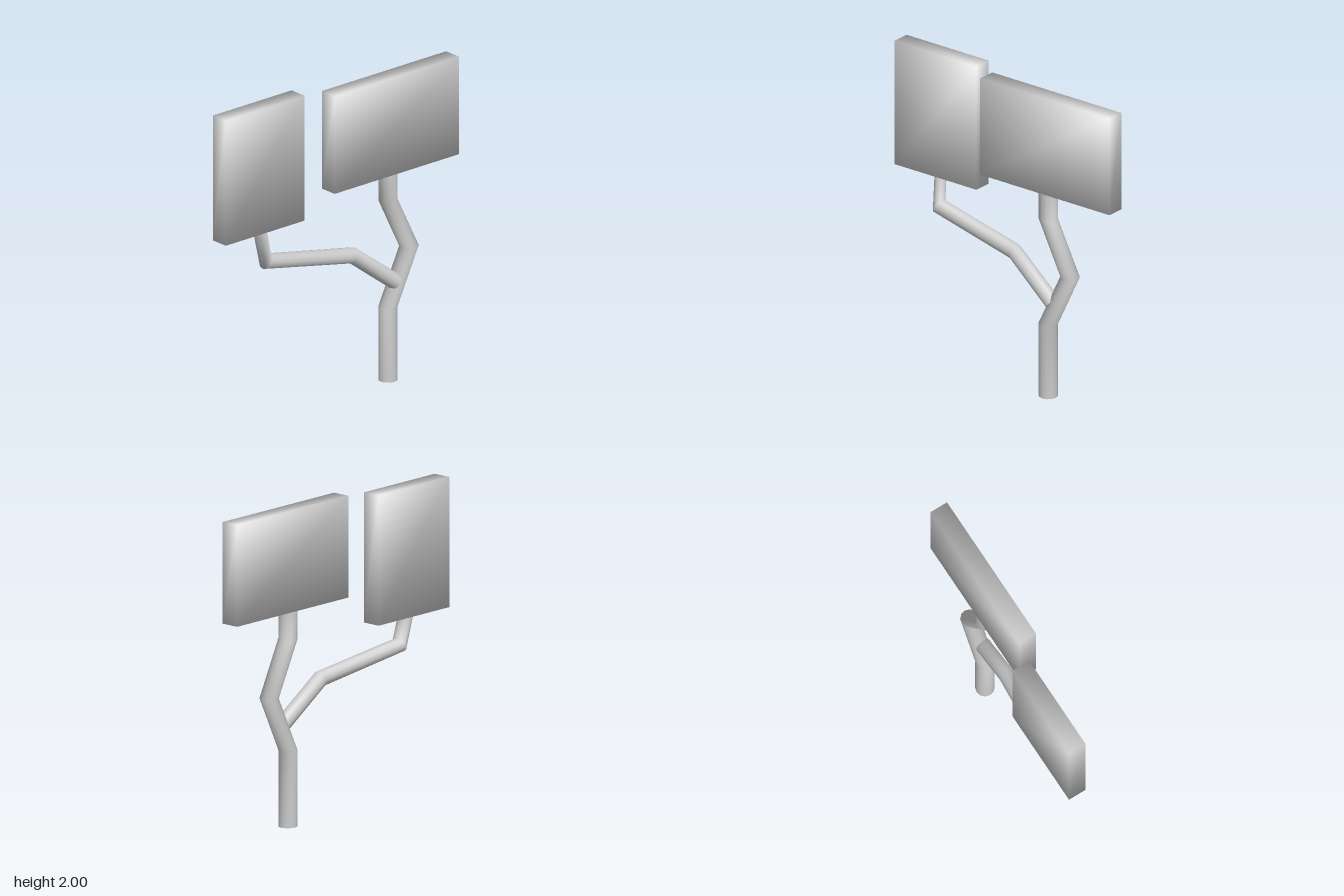
import * as THREE from 'three';

const SIDES = 12;
const grey = new THREE.MeshStandardMaterial({ color: 0xcccccc });

// Pole lofted through rings: each ring is [x, y, z, tilt],
// tilt leaning the ring's axis from straight up towards +z.
function pole(name, rings, radius) {
  const pos = [], index = [];
  const addRing = ([x, y, z, tilt]) => {
    for (let i = 0; i < SIDES; i++) {
      const a = (i / SIDES) * Math.PI * 2;
      const d = Math.cos(a) * radius;
      pos.push(x + Math.sin(a) * radius, y - d * Math.sin(tilt), z + d * Math.cos(tilt));
    }
  };
  rings.forEach(addRing);
  for (let r = 0; r < rings.length - 1; r++) {
    for (let i = 0; i < SIDES; i++) {
      const a = r * SIDES + i, b = r * SIDES + (i + 1) % SIDES;
      index.push(a, b, b + SIDES, a, b + SIDES, a + SIDES);
    }
  }
  // Flat end caps on their own vertices
  [rings[0], rings[rings.length - 1]].forEach((ring, end) => {
    const s = pos.length / 3;
    addRing(ring);
    for (let i = 1; i < SIDES - 1; i++) {
      if (end) index.push(s, s + i, s + i + 1);
      else index.push(s, s + i + 1, s + i);
    }
  });
  const geo = new THREE.BufferGeometry();
  geo.setAttribute('position', new THREE.Float32BufferAttribute(pos, 3));
  geo.setIndex(index);
  geo.computeVertexNormals();
  const mesh = new THREE.Mesh(geo, grey);
  mesh.name = name;
  return mesh;
}

// Board whose normals point out through its corners for soft shading
function board(name, min, max) {
  const size = max.map((v, i) => v - min[i]);
  const geo = new THREE.BoxGeometry(...size);
  const p = geo.attributes.position, n = geo.attributes.normal;
  const v = new THREE.Vector3();
  for (let i = 0; i < p.count; i++) {
    v.set(Math.sign(p.getX(i)), Math.sign(p.getY(i)), Math.sign(p.getZ(i))).normalize();
    n.setXYZ(i, v.x, v.y, v.z);
  }
  const mesh = new THREE.Mesh(geo, grey);
  mesh.position.set(...max.map((m, i) => (m + min[i]) / 2));
  mesh.name = name;
  return mesh;
}

export function createModel() {
  const group = new THREE.Group();
  group.name = 'forkedSignpost';
  group.add(
    // Main post, with level rings at each bend
    pole('mainPost', [
      [0.06, 0, -0.365, 0],
      [0.06, 0.48, -0.365, 0],
      [0.06, 0.835, -0.535, 0],
      [0.06, 1.18, -0.365, 0],
      [0.06, 1.38, -0.365, 0],
    ], 0.06),
    // Side branch reaching forward to the tall board
    pole('sideBranch', [
      [0.073, 0.635, -0.41, 0.9],
      [0.043, 0.88, -0.09, 1.15],
      [-0.025, 0.988, 0.553, 1.0],
      [-0.068, 1.22, 0.573, 1.0],
    ], 0.051),
    board('wideBoard', [0, 1.36, -0.89], [0.12, 2, 0.12]),
    board('tallBoard', [-0.13, 1.18, 0.25], [-0.01, 2, 0.89]),
  );
  return group;
}
